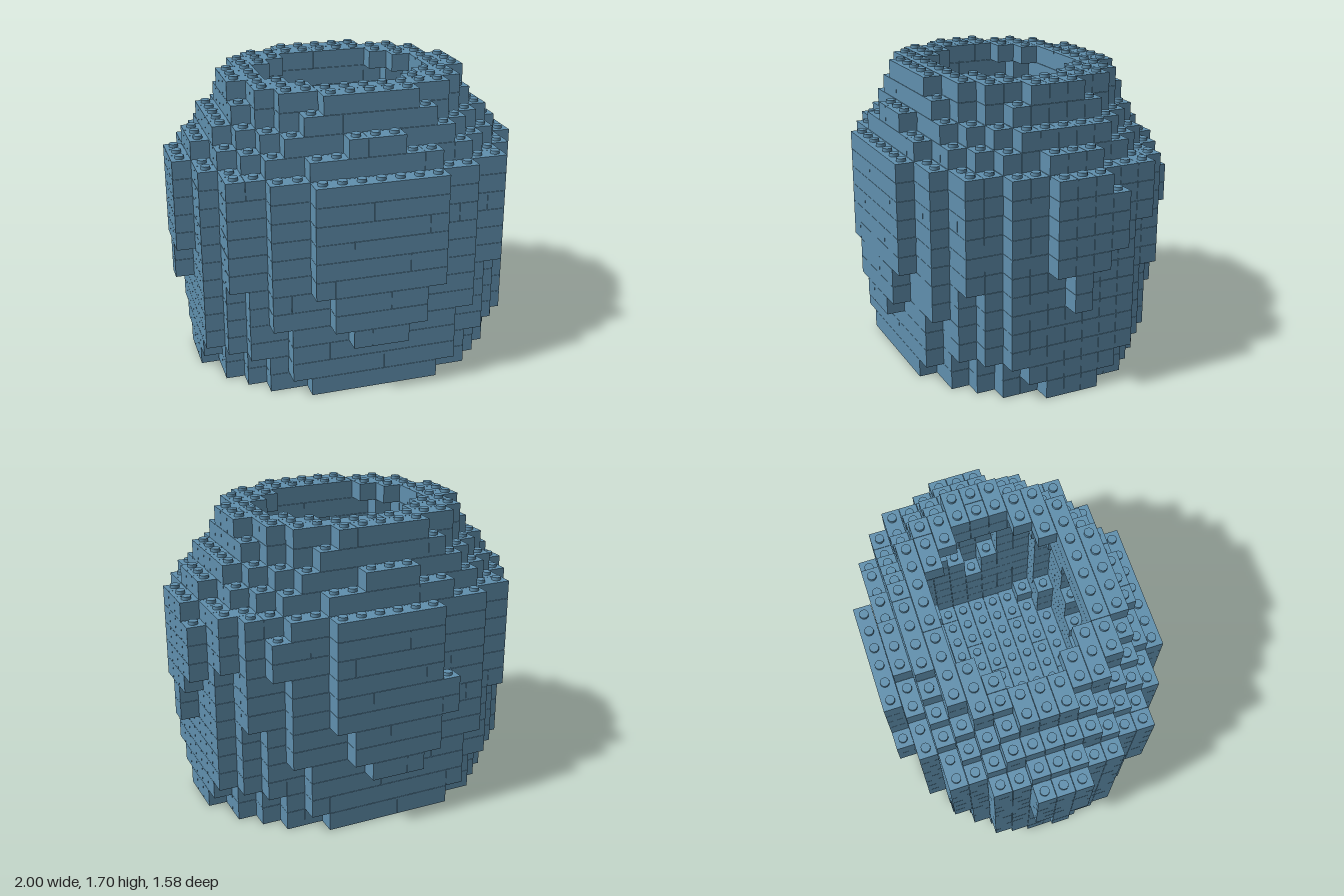
import * as THREE from 'three';
import { mergeGeometries } from 'three/addons/utils/BufferGeometryUtils.js';

const U = 2 / 19;        // one stud cell, also the height of a course
const GAP = 0.002;       // hairline joint between bricks
const STUD_R = 0.026, STUD_H = 0.018;

// Each course: how many cells it reaches to either side, for rows 0, 1, 2... away from the middle
const belly = [9, 9, 8, 8, 7, 7, 5, 3];
const courses = [
  [8, 8, 7, 7, 6, 5, 3],
  [8, 8, 8, 7, 6, 5, 4],
  [8, 8, 8, 8, 7, 6, 4],
  [8, 8, 8, 8, 7, 6, 4, 1],
  [8, 8, 8, 8, 7, 6, 5, 2],
  [9, 8, 8, 8, 7, 6, 5, 2],
  [9, 8, 8, 8, 7, 7, 5, 3],
  belly, belly, belly, belly, belly,
  [8, 8, 7, 7, 6, 5, 3],
  [7, 7, 7, 6, 5, 4, 1],
  [6, 6, 6, 5, 4, 3],
  [6, 6, 5, 5, 4, 2],
];

// Odd bricks that break the symmetry: cell, first and last course, present or not
const oddBricks = [
  { x: 9, z: -2, from: 8, to: 10, on: true },
  { x: 6, z: -6, from: 9, to: 10, on: true },
  { x: 8, z: -4, from: 9, to: 11, on: true },
  { x: -3, z: -7, from: 8, to: 11, on: false },
];

// Is the cell inside the outer outline of a course?
function inOutline(k, x, z) {
  const rows = courses[k];
  if (!rows) return false;
  for (const b of oddBricks) {
    if (b.x === x && b.z === z && k >= b.from && k <= b.to) return b.on;
  }
  const reach = rows[Math.abs(z)];
  return reach !== undefined && Math.abs(x) <= reach;
}

// The wall is two cells thick, the bottom course is a full floor
const around = [[2, 0], [-2, 0], [0, 2], [0, -2], [1, 1], [-1, 1], [1, -1], [-1, -1]];
function filled(k, x, z) {
  if (!inOutline(k, x, z)) return false;
  return k === 0 || around.some(([dx, dz]) => !inOutline(k, x + dx, z + dz));
}

function brick(x0, length, z, k) {
  const g = new THREE.BoxGeometry(length * U - GAP, U - GAP, U - GAP);
  return g.translate((x0 + (length - 1) / 2) * U, (k + 0.5) * U, z * U);
}

function stud(x, z, k) {
  const g = new THREE.CylinderGeometry(STUD_R, STUD_R, STUD_H, 14);
  return g.translate(x * U, (k + 1) * U + STUD_H / 2 - GAP / 2, z * U);
}

export function createModel() {
  const blue = new THREE.MeshStandardMaterial({ color: 0x6090ae });
  blue.name = 'greyBlue';
  const model = new THREE.Group();
  model.name = 'brickPot';

  courses.forEach((rows, k) => {
    const bricks = [], studs = [];
    for (let z = -7; z <= 7; z++) {
      let start = null;
      for (let x = -9; x <= 10; x++) {
        const here = filled(k, x, z);
        // Close a brick at the end of a run or at a staggered joint
        const joint = (x + 40 + 3 * k + 2 * z) % 7 === 0;
        if (start !== null && (!here || joint)) {
          bricks.push(brick(start, x - start, z, k));
          start = null;
        }
        if (here && start === null) start = x;
        // Studs show only where nothing sits on top
        if (here && !filled(k + 1, x, z)) studs.push(stud(x, z, k));
      }
    }
    const course = new THREE.Group();
    course.name = k === 0 ? 'floorCourse' : k < 12 ? 'wallCourse' + k : 'shoulderCourse' + k;
    const addPart = (name, parts) => {
      if (!parts.length) return;
      const mesh = new THREE.Mesh(mergeGeometries(parts), blue);
      mesh.name = name;
      course.add(mesh);
    };
    addPart('bricks', bricks);
    addPart('studs', studs);
    model.add(course);
  });
  return model;
}
